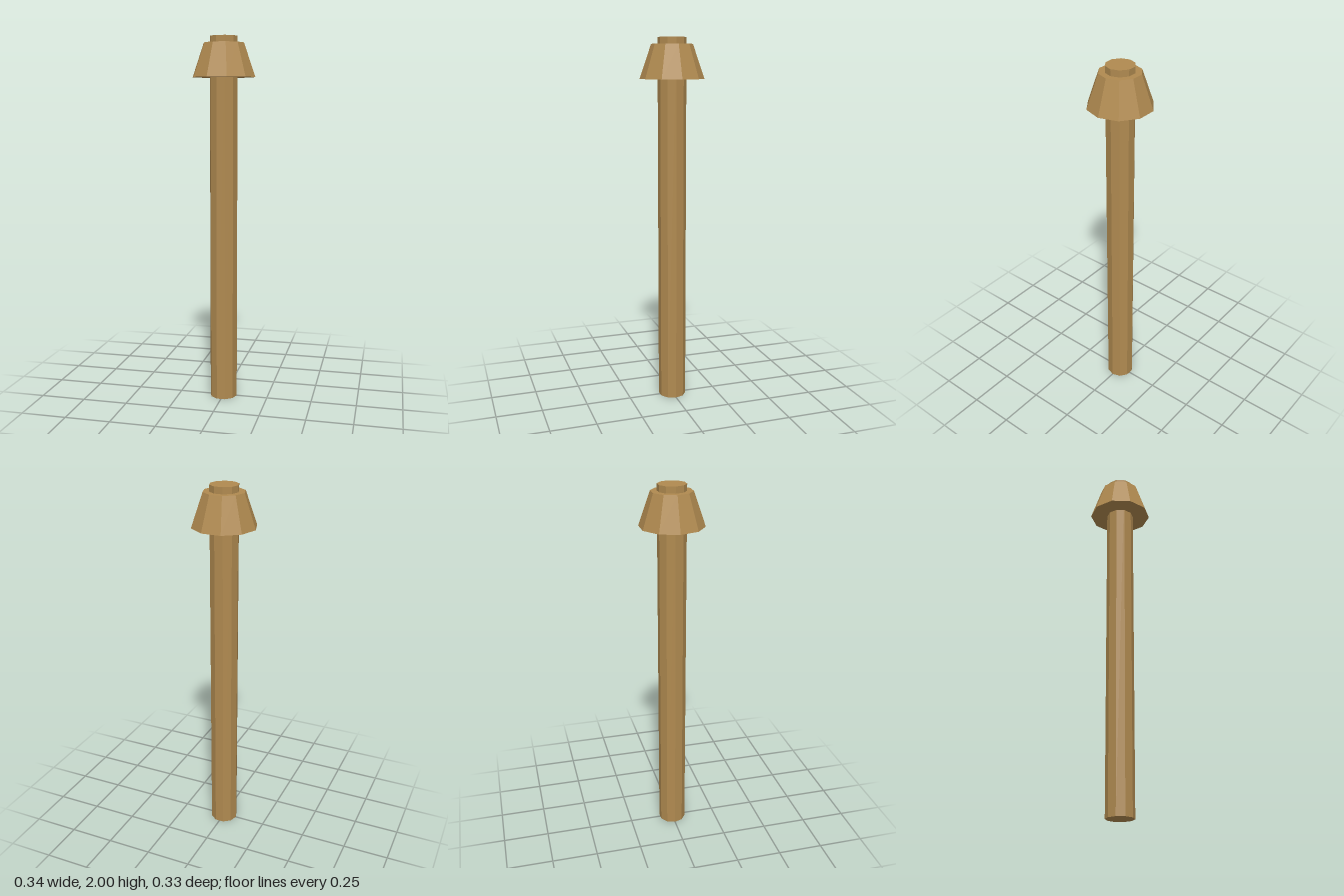
import * as THREE from 'three';

export function createModel() {
  const group = new THREE.Group();
  group.name = 'post';

  const wood = new THREE.MeshStandardMaterial({ color: 0xb08a50 });
  wood.name = 'wood brown';

  // Ten-sided section with corners on the x axis
  const addSection = (name, topRadius, bottomRadius, bottom, top) => {
    const geometry = new THREE.CylinderGeometry(
      topRadius, bottomRadius, top - bottom, 10, 1, false, Math.PI / 2
    ).toNonIndexed();
    geometry.computeVertexNormals(); // flat facets
    geometry.translate(0, (top + bottom) / 2, 0);
    const mesh = new THREE.Mesh(geometry, wood);
    mesh.name = name;
    group.add(mesh);
  };

  // Straight pole, and the flared collar near its top
  addSection('pole', 0.076, 0.076, 0, 2);
  addSection('collar', 0.11, 0.172, 1.785, 1.965);

  return group;
}
